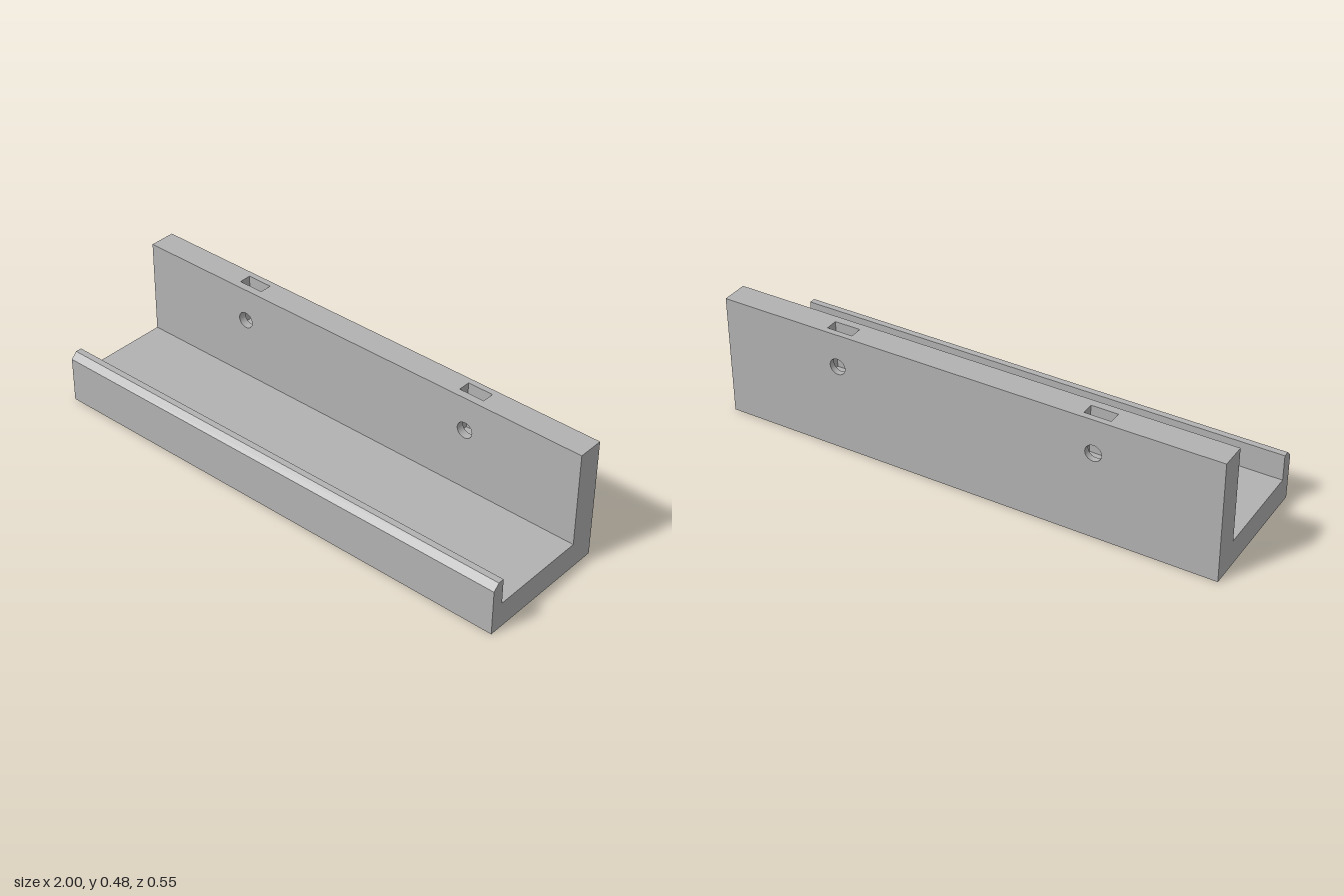
import * as THREE from 'three';

export function createModel() {
  const model = new THREE.Group();
  const grey = new THREE.MeshStandardMaterial({ color: 0xb2b2b2, side: THREE.DoubleSide });
  grey.name = 'matt grey';

  const add = (name, geometry) => {
    const mesh = new THREE.Mesh(geometry, grey);
    mesh.name = name;
    model.add(mesh);
    return mesh;
  };
  const rect = (x0, y0, x1, y1, Type = THREE.Shape) => new Type([
    new THREE.Vector2(x0, y0), new THREE.Vector2(x1, y0),
    new THREE.Vector2(x1, y1), new THREE.Vector2(x0, y1),
  ]);
  const circle = (x, y, r) => new THREE.Path().absarc(x, y, r, 0, Math.PI * 2, true);
  const flat = (shape) => new THREE.ShapeGeometry(shape, 16);

  // Key sizes
  const boltX = [-0.517, 0.517], boltY = 0.35, boltR = 0.032;
  const slotHalf = 0.052, slotFront = -0.203, slotBack = -0.252, slotFloor = 0.295;
  const footX = [-0.855, -0.353, 0.353, 0.855], footZ = 0.028, footR = 0.022, footDepth = 0.075;
  const wallFront = -0.172, back = -0.276, top = 0.484, floor = 0.104;

  // Cross-section as [z, y], from the lower front edge up and over to the back
  const section = [
    ['frontFace', 0.276, 0], ['lipChamfer', 0.276, 0.184], ['lipTop', 0.252, 0.208],
    ['lipInside', 0.227, 0.208], ['trayFloor', 0.227, floor], ['wallFront', wallFront, floor],
    ['wallTop', wallFront, top], ['wallBack', back, top], ['underside', back, 0],
  ];

  // Openings cut in each long face, measured along that face
  const openings = {
    wallFront: boltX.map((x) => circle(x, boltY - floor, boltR)),
    wallBack: boltX.map((x) => circle(x, top - boltY, boltR)),
    wallTop: boltX.map((x) => rect(x - slotHalf, wallFront - slotFront,
      x + slotHalf, wallFront - slotBack, THREE.Path)),
    underside: footX.map((x) => circle(x, footZ - back, footR)),
  };

  // Long faces, one for each side of the cross-section
  section.forEach(([name, z, y], i) => {
    const [, z2, y2] = section[(i + 1) % section.length];
    const along = new THREE.Vector3(0, y2 - y, z2 - z);
    const length = along.length();
    along.normalize();
    const shape = rect(-1, 0, 1, length);
    shape.holes.push(...(openings[name] || []));
    const xAxis = new THREE.Vector3(1, 0, 0);
    const matrix = new THREE.Matrix4().makeBasis(xAxis, along, xAxis.clone().cross(along));
    add(name, flat(shape).applyMatrix4(matrix.setPosition(0, y, z)));
  });

  // End faces
  for (const side of [1, -1]) {
    const shape = new THREE.Shape(section.map(([, z, y]) => new THREE.Vector2(-side * z, y)));
    add(side > 0 ? 'leftEnd' : 'rightEnd', flat(shape).rotateY(side * Math.PI / 2).translate(side, 0, 0));
  }

  // Bolt holes through the wall, and nut slots dropped in from its top
  for (const x of boltX) {
    for (const [z0, z1] of [[back, slotBack], [slotFront, wallFront]]) {
      add('boltHole', new THREE.CylinderGeometry(boltR, boltR, z1 - z0, 32, 1, true)
        .rotateX(Math.PI / 2).translate(x, boltY, (z0 + z1) / 2));
    }
    for (const z of [slotBack, slotFront]) {
      const shape = rect(-slotHalf, slotFloor, slotHalf, top);
      shape.holes.push(circle(0, boltY, boltR));
      const side = flat(shape);
      if (z === slotFront) side.rotateY(Math.PI);
      add('nutSlotFace', side.translate(x, 0, z));
    }
    const depth = slotFront - slotBack, midZ = (slotFront + slotBack) / 2;
    for (const s of [1, -1]) {
      add('nutSlotSide', new THREE.PlaneGeometry(depth, top - slotFloor)
        .rotateY(-s * Math.PI / 2).translate(x + s * slotHalf, (top + slotFloor) / 2, midZ));
    }
    add('nutSlotFloor', new THREE.PlaneGeometry(slotHalf * 2, depth)
      .rotateX(-Math.PI / 2).translate(x, slotFloor, midZ));
  }

  // Blind holes in the underside
  for (const x of footX) {
    add('mountingHole', new THREE.CylinderGeometry(footR, footR, footDepth, 32, 1, true)
      .translate(x, footDepth / 2, footZ));
    add('mountingHoleEnd', new THREE.CircleGeometry(footR, 32)
      .rotateX(Math.PI / 2).translate(x, footDepth, footZ));
  }

  return model;
}
